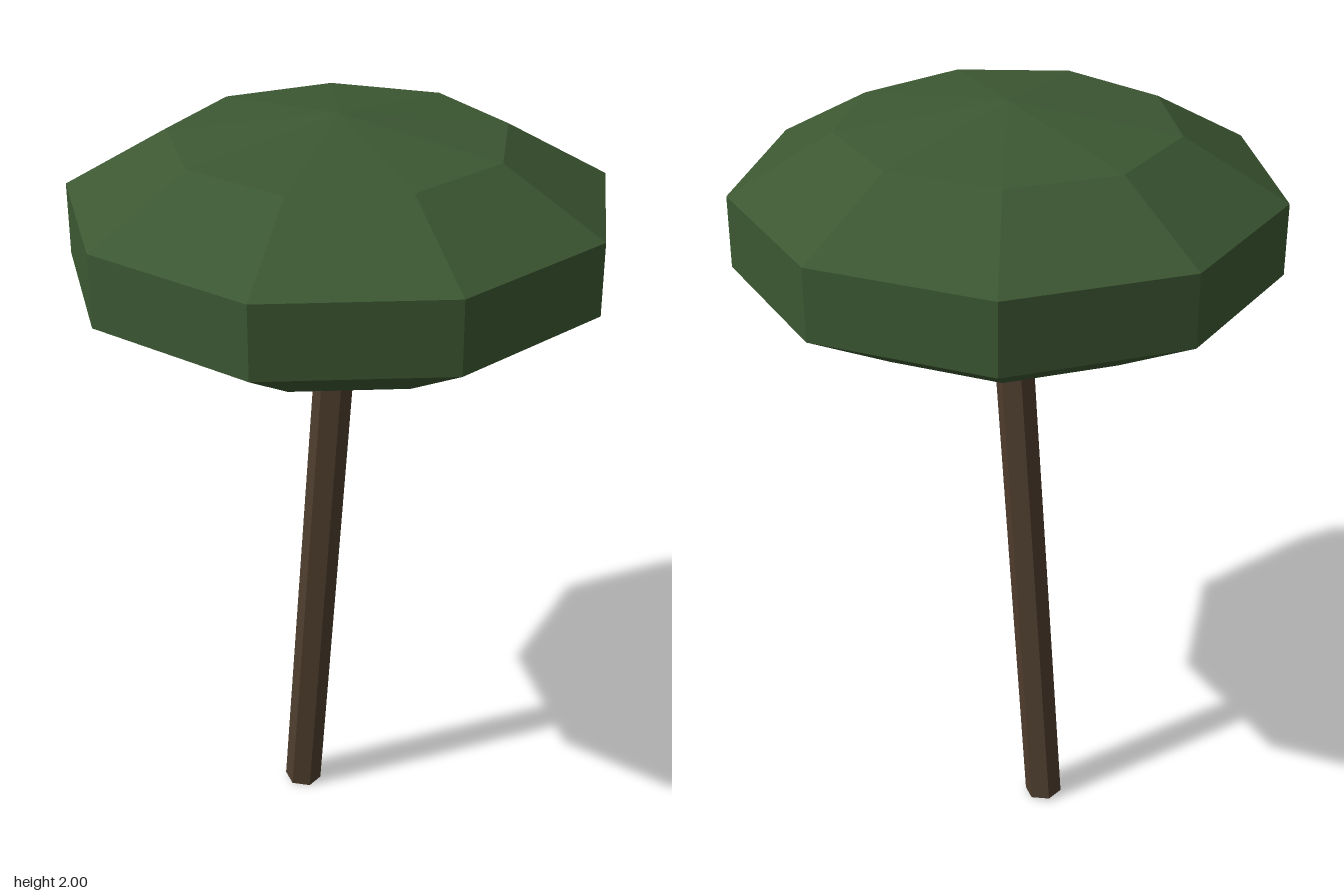
import * as THREE from 'three';

export function createModel() {
  const model = new THREE.Group();
  const leafGreen = new THREE.MeshStandardMaterial({ name: 'leaf green', color: 0x3c5732, flatShading: true });
  const barkBrown = new THREE.MeshStandardMaterial({ name: 'bark brown', color: 0x4e3d2d, flatShading: true });

  const centreZ = 0.02;

  // Flattened nine-sided canopy, one corner pointing to the back
  const canopy = new THREE.Mesh(new THREE.SphereGeometry(1, 9, 5, -Math.PI / 2), leafGreen);
  canopy.name = 'canopy';
  canopy.scale.set(0.7, 0.29, 0.7);
  canopy.position.set(0, 1.71, centreZ);
  model.add(canopy);

  // Slim hexagonal trunk, leaning five degrees and ending inside the canopy
  const length = 1.6;
  const trunkGeometry = new THREE.CylinderGeometry(0.05, 0.05, length, 6);
  trunkGeometry.translate(0, length / 2, 0);
  const trunk = new THREE.Mesh(trunkGeometry, barkBrown);
  trunk.name = 'trunk';
  trunk.rotation.z = -THREE.MathUtils.degToRad(5);
  trunk.position.set(-0.134, 0.004, centreZ + 0.003);
  model.add(trunk);

  return model;
}
